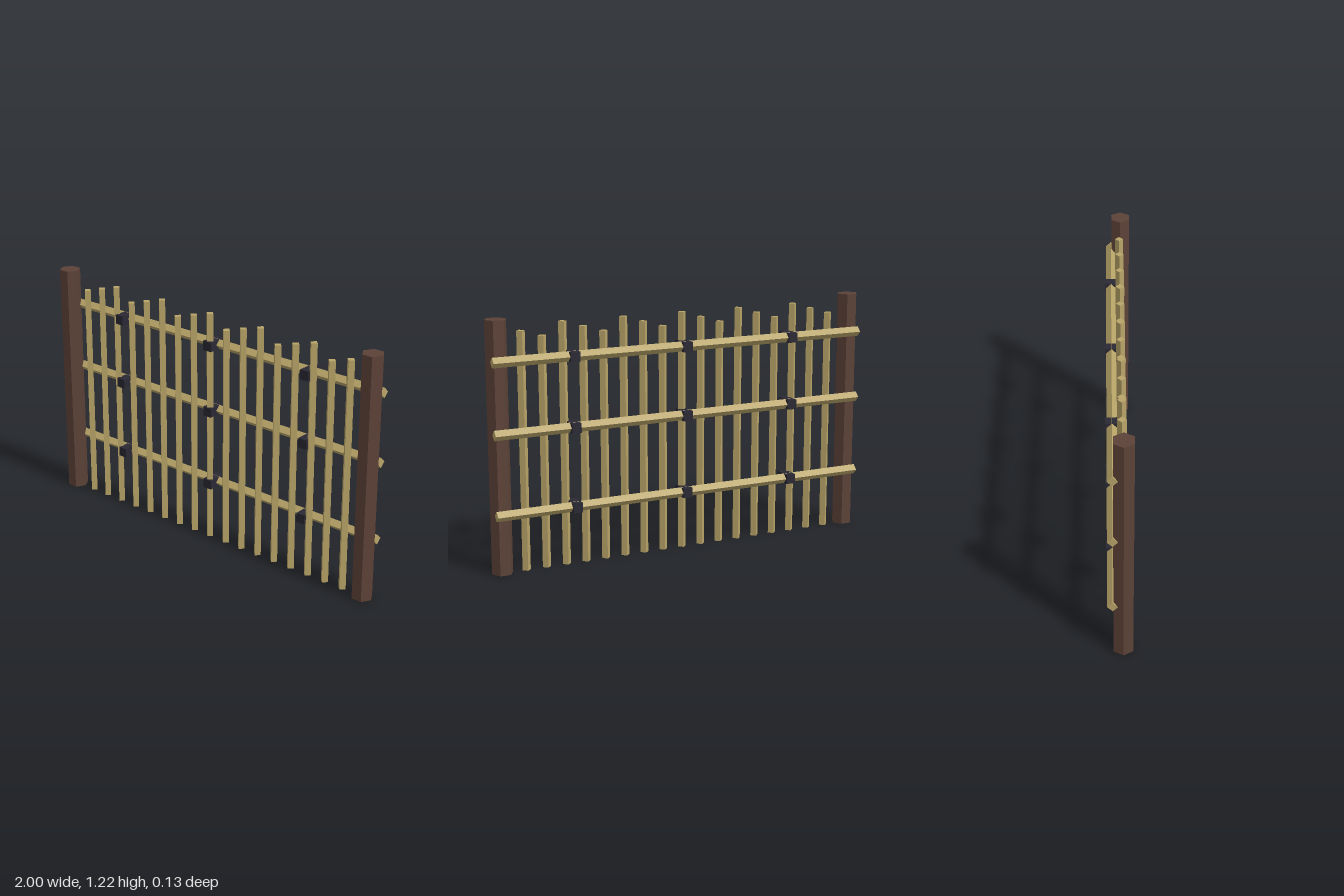
import * as THREE from 'three';

const material = (color) => new THREE.MeshStandardMaterial({ color, flatShading: true });

export function createModel() {
  const fence = new THREE.Group();
  fence.name = 'fence';
  const wood = material(0x5c4238);
  const bamboo = material(0xb8a468);
  const binding = material(0x2a2833);

  const add = (name, geometry, mat, x, y, z) => {
    const mesh = new THREE.Mesh(geometry, mat);
    mesh.name = name;
    mesh.position.set(x, y, z);
    fence.add(mesh);
    return mesh;
  };

  // Hexagonal end posts, with a corner pointing sideways
  const postHeight = 1.22;
  const postGeometry = new THREE.CylinderGeometry(0.053, 0.053, postHeight, 6, 1, false, Math.PI / 6);
  for (const side of [-1, 1]) {
    add(side > 0 ? 'leftPost' : 'rightPost', postGeometry, wood, side * 0.947, postHeight / 2, 0.017);
  }

  // Diamond-section pickets in a repeating pattern of three heights
  const heights = [1.13, 1.16, 1.19];
  const picketGeometries = heights.map((h) => new THREE.CylinderGeometry(0.021, 0.021, h, 4));
  for (let i = 0; i < 17; i++) {
    const k = i % 3;
    add('picket', picketGeometries[k], bamboo, (i - 8) * 0.1035, heights[k] / 2, 0.011);
  }

  // Horizontal rails behind the pickets, each with three dark bindings
  const railGeometry = new THREE.CylinderGeometry(0.025, 0.025, 1.97, 4).rotateZ(Math.PI / 2);
  const bindingGeometry = new THREE.BoxGeometry(0.048, 0.048, 0.096);
  for (const y of [0.295, 0.685, 1.027]) {
    add('rail', railGeometry, bamboo, 0, y, -0.032);
    for (const x of [-0.586, 0, 0.586]) {
      add('binding', bindingGeometry, binding, x, y, -0.015);
    }
  }

  return fence;
}
